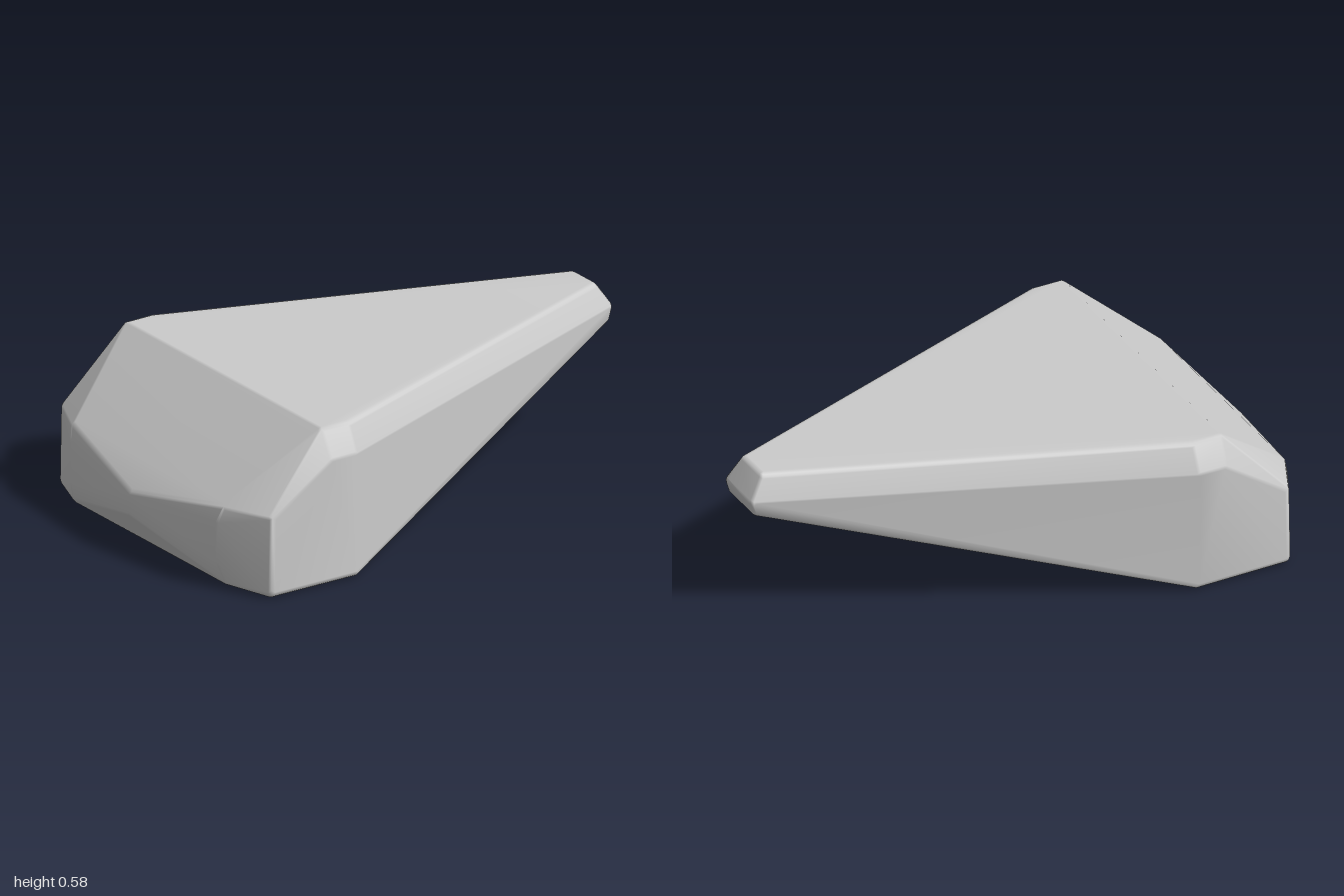
import * as THREE from 'three';
import { ConvexGeometry } from 'three/addons/geometries/ConvexGeometry.js';
import { mergeVertices } from 'three/addons/utils/BufferGeometryUtils.js';

const ROUNDING = 0.025;

// Centres of the rounded corners on the +z half; mirrored across z = 0
const CORNERS = [
  // flat top
  [-0.59, 0.552, 0.58], [-0.49, 0.552, 0.58], [0.93, 0.552, 0.06],
  // upper edge of the side walls
  [-0.585, 0.465, 0.62], [-0.49, 0.465, 0.62], [-0.825, 0.3, 0.615],
  // narrow tip
  [0.975, 0.48, 0.08], [0.965, 0.445, 0.08],
  // underside
  [-0.485, 0.026, 0.62], [-0.83, 0.028, 0.615],
  // faceted butt end
  [-0.9, 0.3, 0.45], [-0.915, 0.25, 0.435], [-0.915, 0.1, 0.435], [-0.895, 0.035, 0.45],
  // central ridge of the butt end
  [-0.975, 0.22, 0], [-0.975, 0.15, 0],
];

// Convex solid wrapped around a small ball at every corner
function roundedHull(corners, radius) {
  const ball = mergeVertices(new THREE.IcosahedronGeometry(radius, 1).deleteAttribute('normal').deleteAttribute('uv'));
  const offsets = ball.getAttribute('position');
  const points = [];
  for (const [x, y, z] of corners) {
    for (const side of z === 0 ? [1] : [1, -1]) {
      for (let i = 0; i < offsets.count; i++) {
        points.push(new THREE.Vector3().fromBufferAttribute(offsets, i).add(new THREE.Vector3(x, y, z * side)));
      }
    }
  }
  // Area-weighted normals keep the big faces flat and the edges soft
  const hull = new ConvexGeometry(points);
  hull.deleteAttribute('normal');
  const smooth = mergeVertices(hull, 1e-5);
  smooth.computeVertexNormals();
  return smooth;
}

export function createModel() {
  const group = new THREE.Group();
  group.name = 'taperedWedge';
  const body = new THREE.Mesh(
    roundedHull(CORNERS, ROUNDING),
    new THREE.MeshStandardMaterial({ color: 0xcccccc }),
  );
  body.name = 'wedgeBody';
  group.add(body);
  return group;
}
